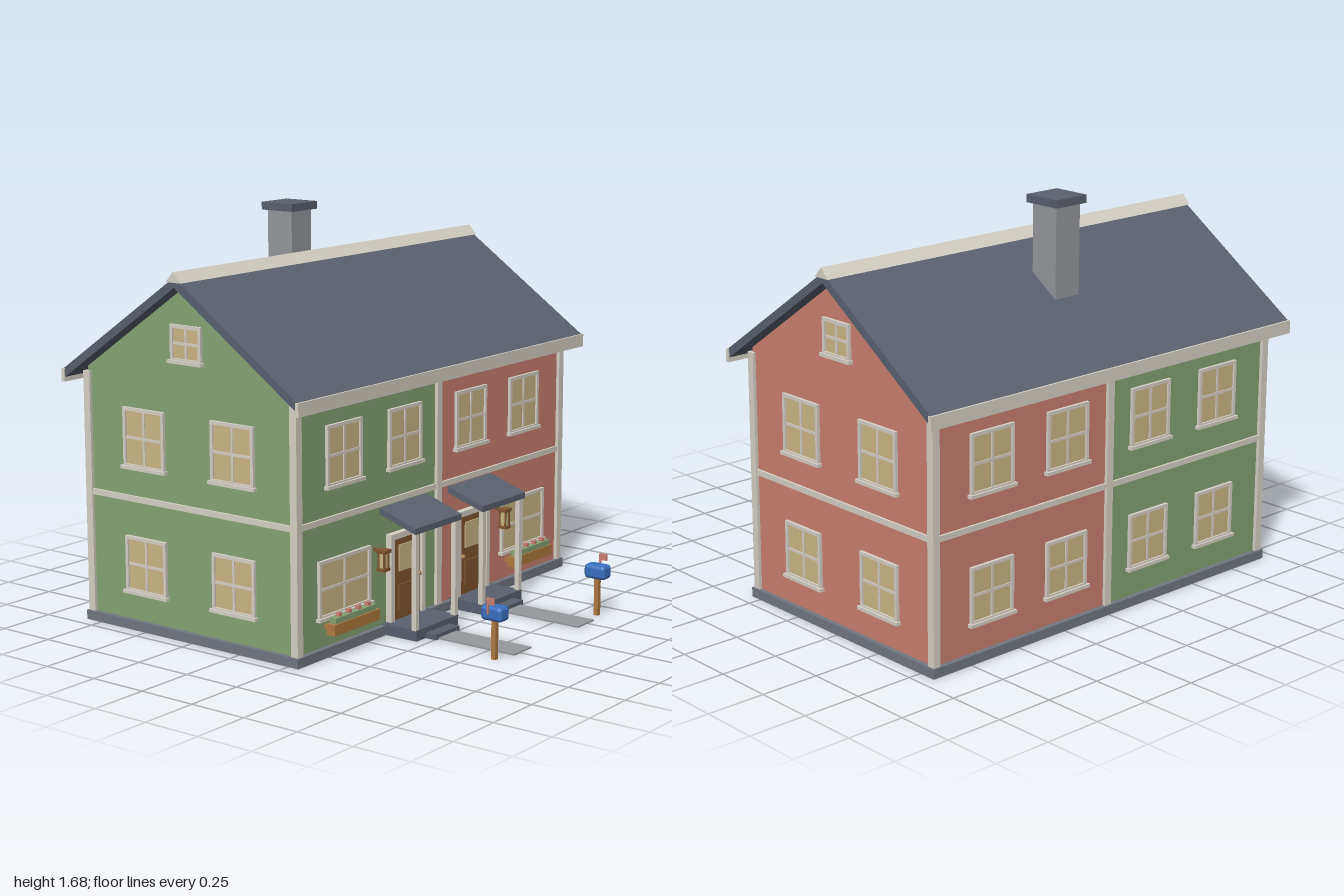
import * as THREE from 'three';
import { RoundedBoxGeometry } from 'three/addons/geometries/RoundedBoxGeometry.js';

const mat = (name, color) => new THREE.MeshStandardMaterial({ name, color });
const M = {
  cream: mat('cream trim', 0xd8d2c6),
  green: mat('green', 0x86a474),
  red: mat('brick red', 0xcb806f),
  slate: mat('slate', 0x5a616e),
  stone: mat('stone grey', 0x96999d),
  base: mat('foundation grey', 0x727781),
  glass: mat('warm glass', 0xccb886),
  brown: mat('door brown', 0x80552f),
  tan: mat('light wood', 0xb07a41),
  blue: mat('blue', 0x3a70c0),
};

// House proportions
const WX = 0.925, CZ = -0.263, HZ = 0.543;
const FRONT = CZ + HZ, BACK = CZ - HZ;
const APEX = 1.443, SLOPE = 0.69;

function add(parent, name, geo, material, x = 0, y = 0, z = 0) {
  const m = new THREE.Mesh(geo, material);
  m.name = name;
  m.position.set(x, y, z);
  parent.add(m);
  return m;
}
const box = (parent, name, material, w, h, d, x, y, z) =>
  add(parent, name, new THREE.BoxGeometry(w, h, d), material, x, y, z);

function group(parent, name, x = 0, y = 0, z = 0, turn = 0) {
  const g = new THREE.Group();
  g.name = name;
  g.position.set(x, y, z);
  g.rotation.y = turn;
  parent.add(g);
  return g;
}

// Profile of [z, y] points swept along x from x0 to x1
function sweepX(parent, name, material, points, x0, x1) {
  const shape = new THREE.Shape(points.map(([z, y]) => new THREE.Vector2(z, y)));
  const geo = new THREE.ExtrudeGeometry(shape, { depth: x1 - x0, bevelEnabled: false });
  geo.rotateY(-Math.PI / 2);
  return add(parent, name, geo, material, x1);
}

// Rectangular frame, built facing +z with its back at z = 0
function frame(parent, name, w, h, bar, d) {
  const s = new THREE.Shape();
  s.moveTo(-w / 2, -h / 2).lineTo(w / 2, -h / 2).lineTo(w / 2, h / 2).lineTo(-w / 2, h / 2);
  const a = w / 2 - bar, b = h / 2 - bar, hole = new THREE.Path();
  hole.moveTo(-a, -b).lineTo(-a, b).lineTo(a, b).lineTo(a, -b);
  s.holes.push(hole);
  return add(parent, name, new THREE.ExtrudeGeometry(s, { depth: d, bevelEnabled: false }), M.cream);
}

// Four-pane window with a sill
function windowUnit(parent, w, h, x, y, z, turn) {
  const g = group(parent, 'window', x, y, z, turn);
  box(g, 'windowGlass', M.glass, w - 0.01, h - 0.01, 0.006, 0, 0, 0.002);
  frame(g, 'windowFrame', w, h, 0.014, 0.013);
  box(g, 'windowMullion', M.cream, 0.011, h - 0.02, 0.008, 0, 0, 0.005);
  box(g, 'windowCrossbar', M.cream, w - 0.02, 0.011, 0.008, 0, 0, 0.005);
  box(g, 'windowSill', M.cream, w + 0.018, 0.014, 0.022, 0, -h / 2, 0.011);
}

function planter(parent, x) {
  const g = group(parent, 'flowerBox', x, 0, 0.33);
  box(g, 'planterBox', M.tan, 0.29, 0.045, 0.042, 0, 0.122, 0);
  box(g, 'planterBracket', M.tan, 0.25, 0.015, 0.03, 0, 0.122, -0.035);
  box(g, 'foliage', M.green, 0.262, 0.025, 0.03, 0, 0.155, 0);
  for (let i = 0; i < 4; i++)
    box(g, 'flower', M.red, 0.018, 0.018, 0.018, -0.093 + i * 0.062, 0.174, 0);
}

function lantern(parent, x) {
  const g = group(parent, 'lantern', x, 0, 0.328);
  box(g, 'lanternCap', M.brown, 0.045, 0.014, 0.045, 0, 0.367, 0);
  box(g, 'lanternFoot', M.brown, 0.04, 0.012, 0.04, 0, 0.292, 0);
  box(g, 'lanternGlass', M.glass, 0.024, 0.066, 0.024, 0, 0.329, 0);
  for (const sx of [-1, 1]) for (const sz of [-1, 1])
    box(g, 'lanternBar', M.brown, 0.006, 0.066, 0.006, sx * 0.014, 0.329, sz * 0.014);
  box(g, 'lanternArm', M.brown, 0.012, 0.012, 0.05, 0, 0.367, -0.03);
}

// Door, porch, steps and path; side = -1 or 1
function entrance(parent, side) {
  const g = group(parent, 'entrance', side * 0.235);
  box(g, 'door', M.brown, 0.19, 0.35, 0.016, 0, 0.215, FRONT + 0.008);
  for (const s of [-1, 1])
    box(g, 'doorJamb', M.cream, 0.022, 0.37, 0.028, s * 0.106, 0.225, FRONT + 0.014);
  box(g, 'doorHead', M.cream, 0.234, 0.024, 0.028, 0, 0.4, FRONT + 0.014);
  box(g, 'doorGlass', M.glass, 0.11, 0.112, 0.006, 0, 0.302, FRONT + 0.018);
  box(g, 'doorPanel', M.brown, 0.115, 0.105, 0.007, 0, 0.138, FRONT + 0.0195);
  add(g, 'doorKnob', new THREE.SphereGeometry(0.011, 12, 8), M.tan, -side * 0.077, 0.212, FRONT + 0.024);

  const roof = [[0.458, 0.445], [0.458, 0.47], [0.275, 0.532], [0.275, 0.505]];
  sweepX(g, 'porchRoof', M.slate, roof, -0.159, 0.159);
  for (const s of [-1, 1])
    box(g, 'porchPost', M.cream, 0.022, 0.41, 0.022, s * 0.136, 0.248, 0.442);
  box(g, 'upperStep', M.slate, 0.29, 0.045, 0.175, 0, 0.0225, 0.3675);
  box(g, 'lowerStep', M.slate, 0.165, 0.022, 0.06, 0, 0.011, 0.475);
  box(g, 'path', M.stone, 0.125, 0.006, 0.37, 0, 0.003, 0.685);
}

function mailbox(parent, side) {
  const g = group(parent, 'mailbox', side * 0.38, 0, 0.833);
  box(g, 'mailboxPost', M.tan, 0.02, 0.165, 0.02, 0, 0.0825, 0);
  add(g, 'mailboxBody', new RoundedBoxGeometry(0.066, 0.06, 0.1, 2, 0.016), M.blue, 0, 0.19, 0);
  box(g, 'flagStem', M.red, 0.006, 0.06, 0.007, side * 0.036, 0.22, -0.01);
  box(g, 'flag', M.red, 0.006, 0.028, 0.036, side * 0.036, 0.243, 0.004);
}

export function createModel() {
  const root = new THREE.Group();
  root.name = 'twinHouse';

  // Foundation and the two coloured halves
  box(root, 'foundation', M.base, 1.89, 0.04, 1.13, 0, 0.02, CZ);
  const eave = APEX - SLOPE * HZ;
  const wall = [[BACK, 0.04], [FRONT, 0.04], [FRONT, eave], [CZ, APEX], [BACK, eave]];
  sweepX(root, 'leftWalls', M.red, wall, 0, WX);
  sweepX(root, 'rightWalls', M.green, wall, -WX, 0);

  // Roof, ridge cap and fascias
  const over = 0.618, t = 0.04, low = APEX - SLOPE * over;
  const roof = [[CZ - over, low], [CZ, APEX], [CZ + over, low],
    [CZ + over, low + t], [CZ, APEX + t], [CZ - over, low + t]];
  sweepX(root, 'roof', M.slate, roof, -0.995, 0.995);
  sweepX(root, 'ridgeCap', M.cream,
    [[CZ - 0.038, 1.463], [CZ + 0.038, 1.463], [CZ, 1.505]], -1, 1);
  for (const s of [-1, 1])
    box(root, 'fascia', M.cream, 2, 0.055, 0.016, 0, 1.034, CZ + s * 0.612);

  // Chimney
  box(root, 'chimney', M.stone, 0.13, 0.45, 0.13, 0, 1.425, -0.5);
  box(root, 'chimneyCap', M.slate, 0.167, 0.033, 0.167, 0, 1.663, -0.5);

  // Corner boards, centre boards and belt courses
  for (const s of [-1, 1]) {
    const z = CZ + s * HZ;
    for (const x of [-0.921, 0.921])
      box(root, 'cornerBoard', M.cream, 0.034, 1.01, 0.034, x, 0.545, z - s * 0.002);
    box(root, 'centreBoard', M.cream, 0.034, 1.01, 0.028, 0, 0.545, z);
    box(root, 'beltCourse', M.cream, 1.82, 0.024, 0.02, 0, 0.549, z);
    box(root, 'sideBeltCourse', M.cream, 0.02, 0.024, 1.06, s * WX, 0.549, CZ);
  }

  // Windows
  for (const s of [-1, 1]) {
    for (const x of [0.233, 0.632]) {
      windowUnit(root, 0.222, 0.247, s * x, 0.802, FRONT, 0);
      windowUnit(root, 0.222, 0.247, s * x, 0.802, BACK, Math.PI);
      windowUnit(root, 0.222, 0.235, s * x, 0.275, BACK, Math.PI);
    }
    windowUnit(root, 0.33, 0.235, s * 0.632, 0.275, FRONT, 0);
    for (const z of [-0.032, -0.498]) {
      windowUnit(root, 0.22, 0.247, s * WX, 0.802, z, s * Math.PI / 2);
      windowUnit(root, 0.22, 0.235, s * WX, 0.275, z, s * Math.PI / 2);
    }
    windowUnit(root, 0.16, 0.148, s * WX, 1.213, CZ, s * Math.PI / 2);

    // Front garden details
    planter(root, s * 0.632);
    lantern(root, s * 0.432);
    entrance(root, s);
    mailbox(root, s);
  }
  return root;
}
